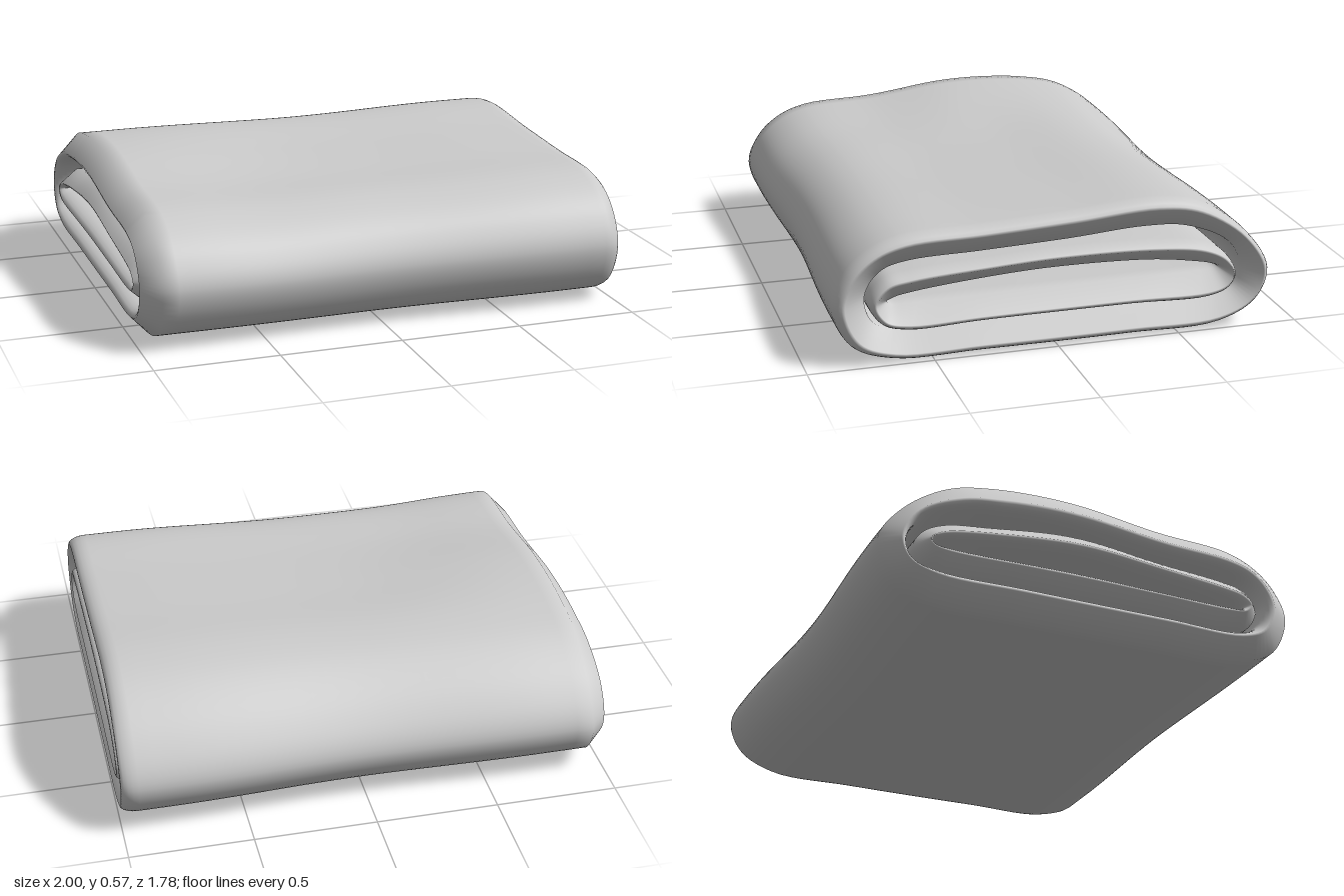
import * as THREE from 'three';

const AROUND = 112;

// Paired [z, y] points of a folded layer: outer skin and inner skin, front -> top -> back -> bottom
const outerLayer = {
  skin: [[.89, .24], [.84, .37], [.75, .455], [.62, .505], [.3, .52], [-.06, .54], [-.42, .562], [-.6, .525], [-.79, .39], [-.89, .23], [-.84, .1], [-.68, .015], [-.3, .005], [.3, .005], [.66, .01], [.82, .075]],
  lining: [[.76, .25], [.735, .32], [.68, .37], [.58, .395], [.3, .405], [-.06, .42], [-.38, .44], [-.55, .425], [-.73, .34], [-.785, .23], [-.76, .15], [-.66, .122], [-.3, .12], [.3, .118], [.64, .118], [.73, .16]],
};
const innerLayer = {
  skin: [[.75, .25], [.69, .335], [.59, .358], [.3, .378], [0, .392], [-.4, .385], [-.61, .357], [-.71, .3], [-.75, .22], [-.72, .16], [-.64, .127], [-.3, .13], [.3, .128], [.6, .122], [.7, .155]],
  lining: [[.672, .235], [.645, .25], [.57, .265], [.3, .292], [0, .307], [-.4, .297], [-.58, .272], [-.65, .257], [-.682, .243], [-.67, .235], [-.62, .23], [-.3, .228], [.3, .225], [.58, .222], [.655, .224]],
};

const curve = (pts) => new THREE.CatmullRomCurve3(
  pts.map(([z, y]) => new THREE.Vector3(0, y, z)), true, 'centripetal');

// Wall section as [x, depth] with rounded edges; depth 0 is the skin, 1 the lining
function wallSection() {
  const half = [];
  for (let i = 0; i <= 28; i++) half.push([-0.93 + 1.86 * i / 28, 0]);
  for (let i = 1; i <= 5; i++) {
    const a = Math.PI / 2 * i / 5;
    half.push([0.93 + 0.07 * Math.sin(a), 0.32 * (1 - Math.cos(a))]);
  }
  return [...half, ...half.map(([x, d]) => [-x, 1 - d])];
}

// Soft sag and swell of the cloth along its width
function drape(p, x) {
  const ends = 0.5 - 0.5 * Math.cos(Math.PI * Math.min(1, Math.abs(x) / 0.8));
  const top = THREE.MathUtils.smoothstep(p.y, 0.12, 0.5);
  const leftSide = THREE.MathUtils.smoothstep(-x, 0.1, 0.9);
  const swell = 0.03 * Math.exp(-(((p.z + 0.06) / 0.28) ** 2)) - 0.012 * Math.exp(-(((p.z + 0.5) / 0.25) ** 2));
  const sag = 0.014 * Math.exp(-(((x + 0.5) / 0.3) ** 2)) * THREE.MathUtils.smoothstep(p.z, 0, 0.6);
  p.y += top * (leftSide * swell - sag - 0.014 * (1 - ends)) + (1 - top) * 0.008 * leftSide;
  p.z *= 0.97 + 0.03 * ends;
  p.x = x;
  return p;
}

function foldedLayer(name, { skin, lining }, material) {
  const outside = curve(skin), inside = curve(lining);
  const section = wallSection(), n = section.length;
  const positions = [], index = [];
  for (let i = 0; i < AROUND; i++) {
    const a = outside.getPoint(i / AROUND), b = inside.getPoint(i / AROUND);
    section.forEach(([x, depth], j) => {
      const p = drape(a.clone().lerp(b, depth), x);
      positions.push(p.x, p.y, p.z);
      const i2 = (i + 1) % AROUND, j2 = (j + 1) % n;
      const p00 = i * n + j, p01 = i * n + j2, p10 = i2 * n + j, p11 = i2 * n + j2;
      index.push(p00, p01, p10, p01, p11, p10);
    });
  }
  const geometry = new THREE.BufferGeometry();
  geometry.setAttribute('position', new THREE.Float32BufferAttribute(positions, 3));
  geometry.setIndex(index);
  geometry.computeVertexNormals();
  const mesh = new THREE.Mesh(geometry, material);
  mesh.name = name;
  return mesh;
}

export function createModel() {
  const group = new THREE.Group();
  group.name = 'foldedTowel';
  const cloth = new THREE.MeshStandardMaterial({ color: 0xcccccc, roughness: 0.9 });
  group.add(foldedLayer('outerFold', outerLayer, cloth));
  group.add(foldedLayer('innerFold', innerLayer, cloth));
  return group;
}
